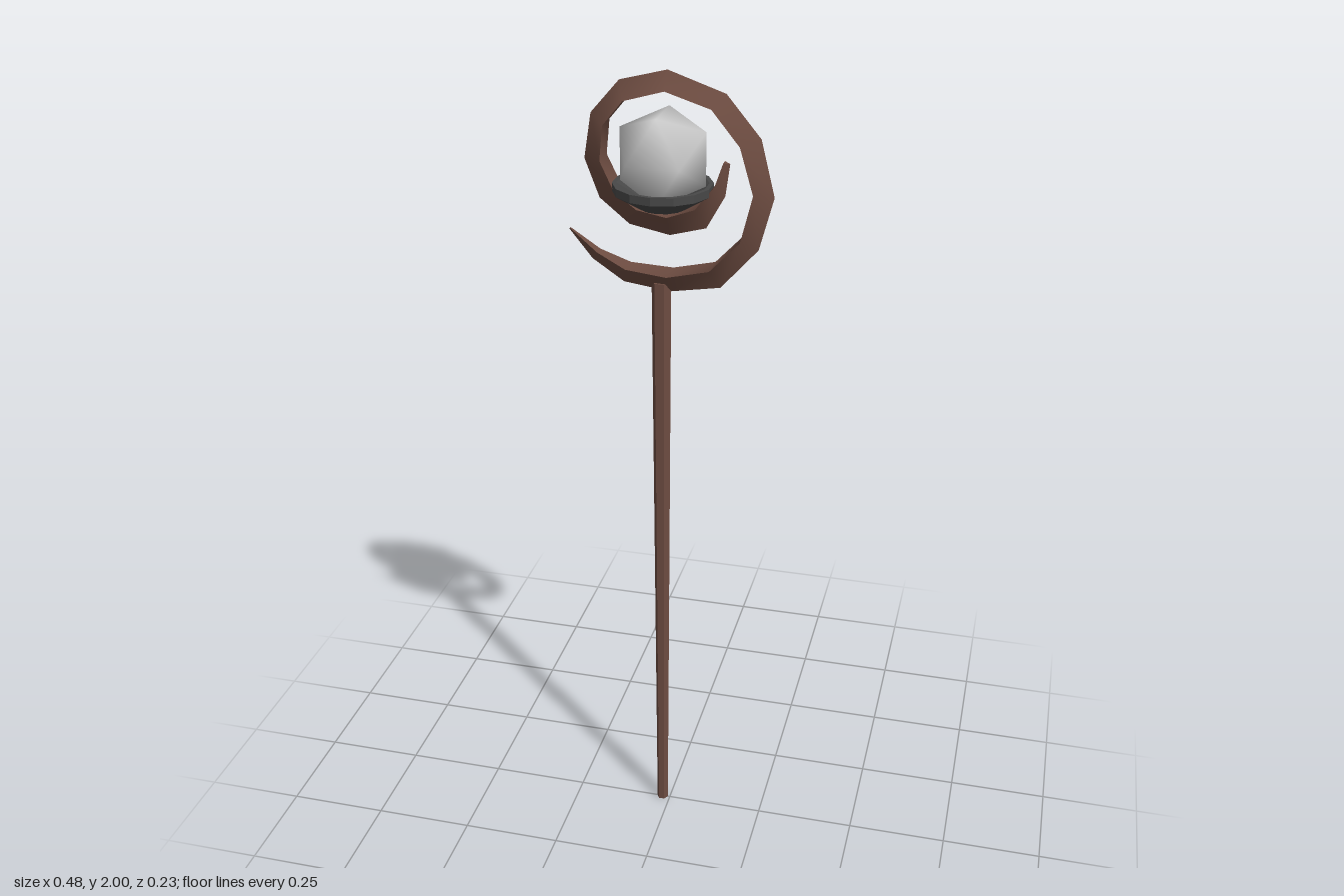
import * as THREE from 'three';
import { toCreasedNormals } from 'three/addons/utils/BufferGeometryUtils.js';

const wood = new THREE.MeshStandardMaterial({ color: 0x6d4c41 });
const flatWood = new THREE.MeshStandardMaterial({ color: 0x6d4c41, flatShading: true });
const darkMetal = new THREE.MeshStandardMaterial({ color: 0x484848, flatShading: true, side: THREE.DoubleSide });
const crystal = new THREE.MeshStandardMaterial({ color: 0xcccccc });

const CX = -0.016; // axis of the shaft, cup and orb

// Scroll stations: outer ridge x, y; inner edge x, y; half depth of the inner face
const STATIONS = [
  [-0.24, 1.62, -0.237, 1.622, 0.003],
  [-0.185, 1.552, -0.17, 1.572, 0.014],
  [-0.11, 1.502, -0.1, 1.541, 0.027],
  [0, 1.487, 0, 1.533, 0.035],
  [0.12, 1.507, 0.1, 1.556, 0.034],
  [0.207, 1.605, 0.17, 1.63, 0.032],
  [0.24, 1.73, 0.197, 1.74, 0.031],
  [0.207, 1.86, 0.165, 1.847, 0.03],
  [0.127, 1.955, 0.1, 1.926, 0.03],
  [-0.005, 2, -0.005, 1.959, 0.03],
  [-0.115, 1.972, -0.1, 1.932, 0.03],
  [-0.182, 1.895, -0.147, 1.875, 0.03],
  [-0.199, 1.79, -0.155, 1.794, 0.03],
  [-0.165, 1.7, -0.122, 1.725, 0.031],
  [-0.095, 1.643, -0.07, 1.688, 0.033],
  [0, 1.624, 0, 1.675, 0.033],
  [0.085, 1.647, 0.065, 1.698, 0.031],
  [0.128, 1.725, 0.108, 1.752, 0.024],
  [0.138, 1.8, 0.124, 1.803, 0.01],
];

// Triangular section swept through the stations, ridge facing outward
function scrollGeometry() {
  const pos = [], index = [];
  for (const [ox, oy, ix, iy, w] of STATIONS) pos.push(ox, oy, 0, ix, iy, w, ix, iy, -w);
  const last = (STATIONS.length - 1) * 3;
  for (let a = 0; a < last; a += 3) {
    for (let j = 0; j < 3; j++) {
      const k = (j + 1) % 3;
      index.push(a + j, a + 3 + j, a + 3 + k, a + j, a + 3 + k, a + k);
    }
  }
  index.push(0, 1, 2, last, last + 2, last + 1);
  const g = new THREE.BufferGeometry();
  g.setAttribute('position', new THREE.Float32BufferAttribute(pos, 3));
  g.setIndex(index);
  return toCreasedNormals(g, 0.75);
}

// Icosahedron with an edge on top and rounded shading
function orbGeometry() {
  const g = new THREE.IcosahedronGeometry(0.117, 0).rotateY(Math.PI / 2);
  const p = g.attributes.position, n = g.attributes.normal, v = new THREE.Vector3();
  for (let i = 0; i < p.count; i++) {
    v.fromBufferAttribute(p, i).normalize();
    n.setXYZ(i, v.x, v.y, v.z);
  }
  return g;
}

export function createModel() {
  const group = new THREE.Group();
  const add = (name, geometry, material, x = 0, y = 0) => {
    const mesh = new THREE.Mesh(geometry, material);
    mesh.name = name;
    mesh.position.set(x, y, 0);
    group.add(mesh);
  };

  // Six-sided shaft, thicker toward the head
  add('shaft', new THREE.CylinderGeometry(0.0235, 0.0145, 1.51, 6, 1, false, Math.PI / 2), flatWood, -0.02, 0.755);
  add('scroll', scrollGeometry(), wood);

  // Shallow bowl holding the orb
  const bowl = [[0, 1.69], [0.055, 1.69], [0.115, 1.727], [0.115, 1.746], [0.105, 1.746], [0.05, 1.712], [0, 1.708]]
    .map(([r, y]) => new THREE.Vector2(r, y));
  add('cup', new THREE.LatheGeometry(bowl, 14), darkMetal, CX);
  add('orb', orbGeometry(), crystal, CX, 1.806);

  return group;
}
